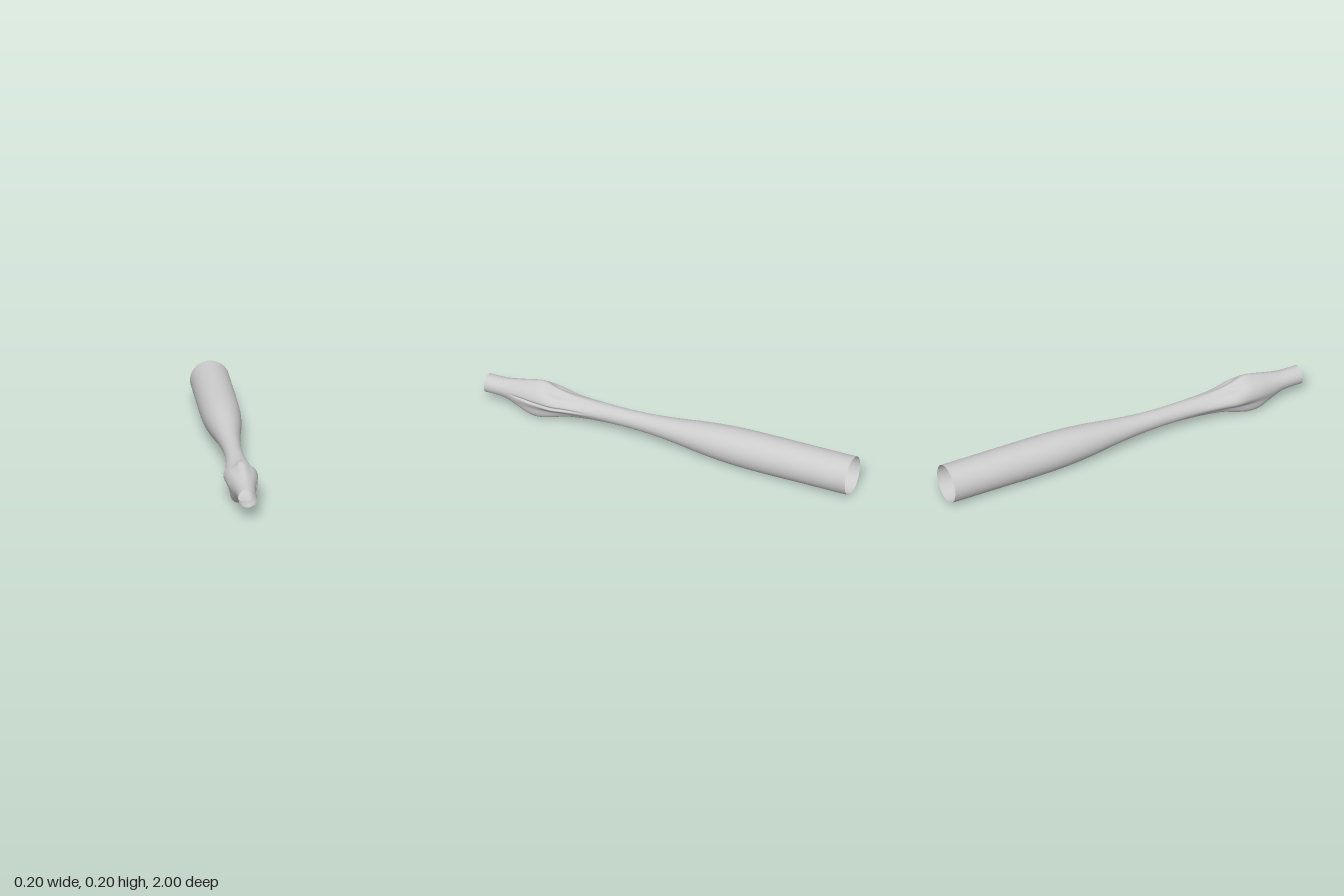
import * as THREE from 'three';

// angles (degrees from the side, up positive) at which each station gives a radius
const ANGLES = [-90, -64, -32, 0, 35, 62, 90];

// z, centre height, radii at ANGLES
const round = (z, cy, r) => [z, cy, r, r, r, r, r, r, r];
const STATIONS = [
  round(-1, 0.1, 0.1),
  round(-0.7, 0.1, 0.1),
  round(-0.5, 0.1, 0.1),
  round(-0.35, 0.101, 0.096),
  round(-0.2, 0.102, 0.084),
  round(-0.05, 0.103, 0.065),
  round(0.1, 0.103, 0.051),
  round(0.25, 0.103, 0.046),
  [0.4, 0.103, 0.05, 0.052, 0.05, 0.053, 0.05, 0.048, 0.048],
  [0.5, 0.103, 0.054, 0.062, 0.057, 0.066, 0.056, 0.05, 0.052],
  [0.56, 0.103, 0.066, 0.072, 0.062, 0.076, 0.064, 0.054, 0.06],
  [0.62, 0.103, 0.09, 0.09, 0.07, 0.087, 0.077, 0.063, 0.075],
  [0.69, 0.103, 0.099, 0.106, 0.077, 0.083, 0.083, 0.081, 0.097],
  [0.75, 0.103, 0.098, 0.104, 0.077, 0.076, 0.075, 0.076, 0.087],
  [0.82, 0.103, 0.076, 0.078, 0.066, 0.062, 0.062, 0.063, 0.068],
  [0.89, 0.103, 0.052, 0.053, 0.051, 0.051, 0.051, 0.051, 0.053],
  round(0.95, 0.103, 0.048),
  round(1, 0.103, 0.048),
];

// smooth interpolation through values at uneven positions
function spline(xs, ys, x) {
  let i = 0;
  while (i < xs.length - 2 && x > xs[i + 1]) i++;
  const slope = (k) => {
    const a = Math.max(k - 1, 0), b = Math.min(k + 1, xs.length - 1);
    return (a === k || b === k) ? 0 : (ys[b] - ys[a]) / (xs[b] - xs[a]);
  };
  const h = xs[i + 1] - xs[i], t = (x - xs[i]) / h, t2 = t * t, t3 = t2 * t;
  return (2 * t3 - 3 * t2 + 1) * ys[i] + (t3 - 2 * t2 + t) * h * slope(i)
    + (3 * t2 - 2 * t3) * ys[i + 1] + (t3 - t2) * h * slope(i + 1);
}

function tubeGeometry(rings, sides) {
  const zs = STATIONS.map((s) => s[0]);
  const pos = [], index = [];
  for (let i = 0; i <= rings; i++) {
    const z = -1 + (2 * i) / rings;
    const row = [1, 2, 3, 4, 5, 6, 7, 8].map((c) => spline(zs, STATIONS.map((s) => s[c]), z));
    const cy = row[0], radii = row.slice(1);
    // strength of the side seam along the bulge
    const seam = 0.012 * THREE.MathUtils.smoothstep(z, 0.4, 0.6) * (1 - THREE.MathUtils.smoothstep(z, 0.75, 0.88));
    for (let j = 0; j < sides; j++) {
      const a = (j / sides) * Math.PI * 2;
      const elevation = THREE.MathUtils.radToDeg(Math.asin(THREE.MathUtils.clamp(Math.sin(a), -1, 1)));
      let r = spline(ANGLES, radii, elevation);
      if (Math.cos(a) > 0) r -= seam * Math.exp(-(((elevation - 2) / 4) ** 2));
      pos.push(r * Math.cos(a), Math.max(0, cy + r * Math.sin(a)), z);
      if (i < rings) {
        const k = (j + 1) % sides, p = i * sides, q = p + sides;
        index.push(p + j, p + k, q + k, p + j, q + k, q + j);
      }
    }
  }
  const geo = new THREE.BufferGeometry();
  geo.setAttribute('position', new THREE.Float32BufferAttribute(pos, 3));
  geo.setIndex(index);
  geo.computeVertexNormals();
  return geo;
}

export function createModel() {
  const group = new THREE.Group();
  group.name = 'handle';
  const material = new THREE.MeshStandardMaterial({ color: 0xcccccc, side: THREE.DoubleSide });
  // open tube: wide barrel, slim neck, sculpted bulge and narrow mouth
  const shell = new THREE.Mesh(tubeGeometry(160, 96), material);
  shell.name = 'handleShell';
  group.add(shell);
  return group;
}
